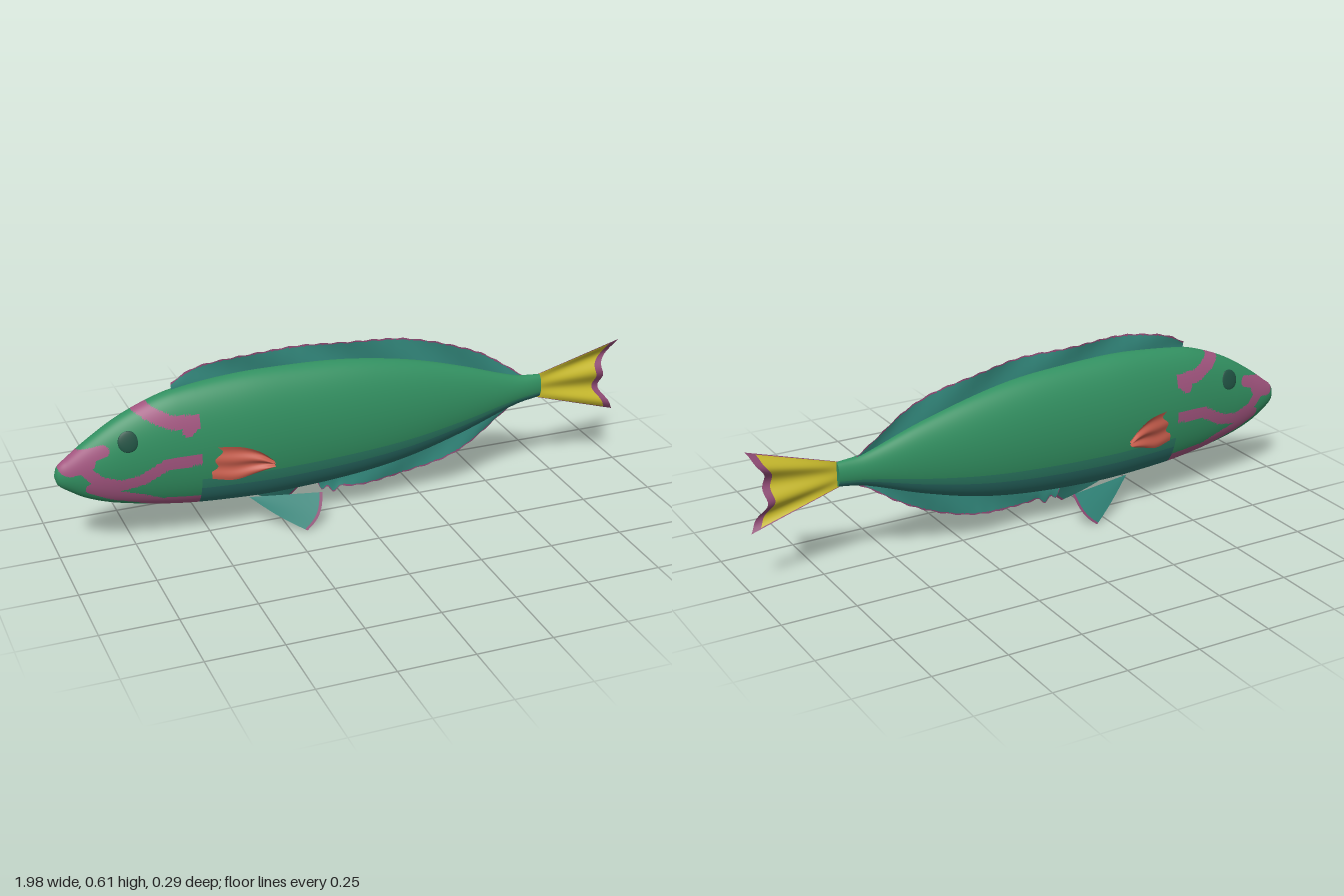
import * as THREE from 'three';

const paint = (name, color, thin) => {
  const m = new THREE.MeshStandardMaterial({ color });
  m.name = name;
  if (thin) m.side = THREE.DoubleSide;
  return m;
};

// Smooth interpolation through [x, value] points
function smooth(pts) {
  const slope = i => {
    const a = pts[Math.max(i - 1, 0)], b = pts[Math.min(i + 1, pts.length - 1)];
    return (b[1] - a[1]) / (b[0] - a[0]);
  };
  return x => {
    let i = 0;
    while (i < pts.length - 2 && x > pts[i + 1][0]) i++;
    const [x0, y0] = pts[i], [x1, y1] = pts[i + 1], d = x1 - x0;
    const t = THREE.MathUtils.clamp((x - x0) / d, 0, 1), s = 1 - t;
    return y0 * s * s * (1 + 2 * t) + y1 * t * t * (3 - 2 * t)
      + d * t * s * (s * slope(i) - t * slope(i + 1));
  };
}

// Surface from point(u, v); pick(x, y, u, v) chooses the material of each triangle
function surface(name, nu, nv, point, mats, pick = () => 0, closed = false) {
  const pos = [], lists = mats.map(() => []), cols = closed ? nv : nv + 1;
  for (let i = 0; i <= nu; i++)
    for (let j = 0; j < cols; j++) pos.push(...point(i / nu, j / nv));
  const id = (i, j) => i * cols + (closed ? j % nv : j);
  for (let i = 0; i < nu; i++) for (let j = 0; j < nv; j++) {
    const a = id(i, j), b = id(i + 1, j), c = id(i + 1, j + 1), d = id(i, j + 1);
    for (const t of [[a, b, c], [a, c, d]]) {
      const mid = k => (pos[t[0] * 3 + k] + pos[t[1] * 3 + k] + pos[t[2] * 3 + k]) / 3;
      lists[pick(mid(0), mid(1), (i + 0.5) / nu, (j + 0.5) / nv)].push(...t);
    }
  }
  const g = new THREE.BufferGeometry();
  g.setAttribute('position', new THREE.Float32BufferAttribute(pos, 3));
  g.setIndex(lists.flat());
  let start = 0;
  lists.forEach((l, k) => { g.addGroup(start, l.length, k); start += l.length; });
  g.computeVertexNormals();
  const mesh = new THREE.Mesh(g, mats);
  mesh.name = name;
  return mesh;
}

// Distance from (x, y) to a polyline
function distance(x, y, line) {
  let best = 9;
  for (let i = 0; i < line.length - 1; i++) {
    const [ax, ay] = line[i], dx = line[i + 1][0] - ax, dy = line[i + 1][1] - ay;
    const t = THREE.MathUtils.clamp(((x - ax) * dx + (y - ay) * dy) / (dx * dx + dy * dy), 0, 1);
    best = Math.min(best, Math.hypot(x - ax - t * dx, y - ay - t * dy));
  }
  return best;
}

// Body outline
const top = smooth([[-1, 0.295], [-0.99, 0.325], [-0.96, 0.35], [-0.9, 0.395], [-0.8, 0.458], [-0.7, 0.503],
  [-0.6, 0.532], [-0.4, 0.554], [-0.25, 0.556], [0, 0.542], [0.2, 0.508], [0.4, 0.453], [0.6, 0.387], [0.69, 0.377]]);
const bottom = smooth([[-1, 0.295], [-0.99, 0.265], [-0.96, 0.24], [-0.9, 0.203], [-0.8, 0.168], [-0.6, 0.13],
  [-0.4, 0.114], [-0.25, 0.111], [0, 0.125], [0.2, 0.155], [0.4, 0.21], [0.6, 0.28], [0.69, 0.295]]);
const width = smooth([[-1, 0], [-0.99, 0.018], [-0.96, 0.032], [-0.9, 0.046], [-0.8, 0.062], [-0.6, 0.083],
  [-0.4, 0.095], [-0.25, 0.097], [0, 0.091], [0.2, 0.078], [0.4, 0.056], [0.6, 0.03], [0.69, 0.02]]);
const centre = x => (top(x) + bottom(x)) / 2;
const half = x => (top(x) - bottom(x)) / 2;
const wave = x => 0.008 * Math.sin(x * 17);

// Face stripes: half width, then points
const stripes = [
  [0.035, [[-0.955, 0.335], [-0.91, 0.345]]],
  [0.02, [[-0.92, 0.33], [-0.87, 0.275], [-0.8, 0.25], [-0.73, 0.265], [-0.66, 0.305], [-0.54, 0.315]]],
  [0.02, [[-0.89, 0.25], [-0.82, 0.215], [-0.74, 0.19], [-0.67, 0.16], [-0.54, 0.148]]],
  [0.02, [[-0.91, 0.36], [-0.85, 0.375]]],
  [0.022, [[-0.74, 0.51], [-0.69, 0.475], [-0.63, 0.445], [-0.54, 0.44]]],
  [0.02, [[-0.55, 0.44], [-0.58, 0.415]]],
];

export function createModel() {
  const fish = new THREE.Group();
  fish.name = 'fish';
  const green = paint('body green', 0x329061);
  const blend = paint('flank blue green', 0x2e8068);
  const teal = paint('belly teal', 0x2b7069);
  const pink = paint('stripe mauve', 0xa2557f);
  const dark = paint('eye dark green', 0x1f5041);
  const finTeal = paint('fin teal', 0x32877b, true);
  const rim = paint('fin edge mauve', 0x8f4a74, true);
  const yellow = paint('tail yellow', 0xc9bb2c, true);
  const red = paint('side fin red', 0xc75d4c, true);

  // Body, with a finer mesh on the head for the stripes
  fish.add(surface('body', 150, 120, (u, v) => {
    const x = u < 0.7 ? -1 + 0.46 * (u / 0.7) ** 1.3 : -0.54 + 1.23 * (u - 0.7) / 0.3;
    const a = v * Math.PI * 2;
    return [x, centre(x) + half(x) * Math.sin(a), width(x) * Math.cos(a)];
  }, [green, blend, teal, pink], (x, y) => {
    if (x < -0.54) return stripes.some(([w, line]) => distance(x, y, line) < w) ? 3 : 0;
    const s = (y - centre(x)) / half(x);
    return s < -0.62 ? 2 : s < -0.46 ? 1 : 0;
  }, true));
  const cap = new THREE.Mesh(new THREE.CircleGeometry(1, 32).rotateY(Math.PI / 2), green);
  cap.scale.set(1, half(0.69), width(0.69));
  cap.position.set(0.69, centre(0.69), 0);
  cap.name = 'tailRoot';
  fish.add(cap);

  // Long fins above and below, rooted inside the body
  const longFin = (name, x0, x1, root, edge) => fish.add(surface(name, 100, 16, (u, v) => {
    const x = x0 + (x1 - x0) * u, r = root(x), e = edge(x) + 0.002 * Math.sin(x * 110);
    return [x, r + (e - r) * v, wave(x + v * 0.08) * v];
  }, [finTeal, rim], (x, y) => Math.abs(y - edge(x)) < 0.005 ? 1 : 0));
  longFin('dorsalFin', -0.61, 0.63, x => top(x) - 0.015,
    smooth([[-0.61, 0.55], [-0.56, 0.578], [-0.5, 0.597], [-0.35, 0.614], [-0.1, 0.609], [0.1, 0.596],
      [0.3, 0.556], [0.45, 0.5], [0.55, 0.437], [0.63, 0.38]]));
  longFin('analFin', -0.12, 0.63, x => bottom(x) + 0.015,
    smooth([[-0.12, 0.112], [-0.105, 0.078], [-0.085, 0.09], [-0.065, 0.068], [-0.04, 0.086], [0, 0.08], [0.1, 0.08],
      [0.2, 0.09], [0.3, 0.111], [0.4, 0.149], [0.5, 0.207], [0.56, 0.25], [0.63, 0.292]]));

  // Tail fan with a concave trailing edge
  fish.add(surface('tailFin', 50, 60, (u, v) => {
    const s = v * 2 - 1, end = 0.93 + 0.06 * Math.abs(s) ** 2.5 + 0.006 * Math.cos(s * 9);
    const x = 0.68 + (end - 0.68) * u;
    const y = 0.335 + s * (0.042 + 0.092 * u) - 0.002 * u;
    return [x, y, 0.012 * Math.sin(s * 7 + 0.5) * u];
  }, [yellow, rim], (x, y, u, v) => u > 0.9 || Math.abs(v - 0.5) > 0.475 ? 1 : 0));

  // Paired fins and eyes
  const up = smooth([[-0.51, 0.347], [-0.42, 0.345], [-0.36, 0.325], [-0.315, 0.29]]);
  const low = smooth([[-0.51, 0.236], [-0.44, 0.23], [-0.38, 0.248], [-0.315, 0.27]]);
  for (const side of [1, -1]) {
    const label = side > 0 ? 'Front' : 'Back';
    fish.add(surface('pectoralFin' + label, 20, 24, (u, v) => {
      const x = -0.51 + 0.195 * u;
      return [x, low(x) + (up(x) - low(x)) * v,
        side * (0.084 + 0.054 * u + 0.006 * Math.sin(v * 13) * (0.3 + u * 0.7))];
    }, [red]));

    fish.add(surface('pelvicFin' + label, 24, 16, (u, v) => {
      // Fan from the front root to a trailing edge running tip to top
      const bow = Math.sin(v * Math.PI);
      const ex = -0.2 + 0.07 * v + 0.012 * bow, ey = 0.004 + 0.108 * v - 0.008 * bow;
      const ez = 0.116 - 0.044 * v + 0.01 * bow;
      return [-0.37 + (ex + 0.37) * u, 0.118 + (ey - 0.118) * u - 0.008 * Math.sin(u * Math.PI) * (1 - v),
        side * (0.03 + (ez - 0.03) * u)];
    }, [finTeal, rim], (x, y, u) => u > 0.94 ? 1 : 0));

    const ex = -0.77, ey = 0.4, s = (ey - centre(ex)) / half(ex), c = Math.sqrt(1 - s * s);
    const eye = new THREE.Mesh(new THREE.SphereGeometry(1, 32, 16), dark);
    eye.scale.set(0.033, 0.035, 0.006);
    eye.position.set(ex, ey, side * width(ex) * c);
    eye.lookAt(ex - 0.12, ey + s / half(ex) * 0.1, side * (width(ex) * c + c / width(ex) * 0.1));
    eye.name = 'eye' + label;
    fish.add(eye);
  }
  return fish;
}
